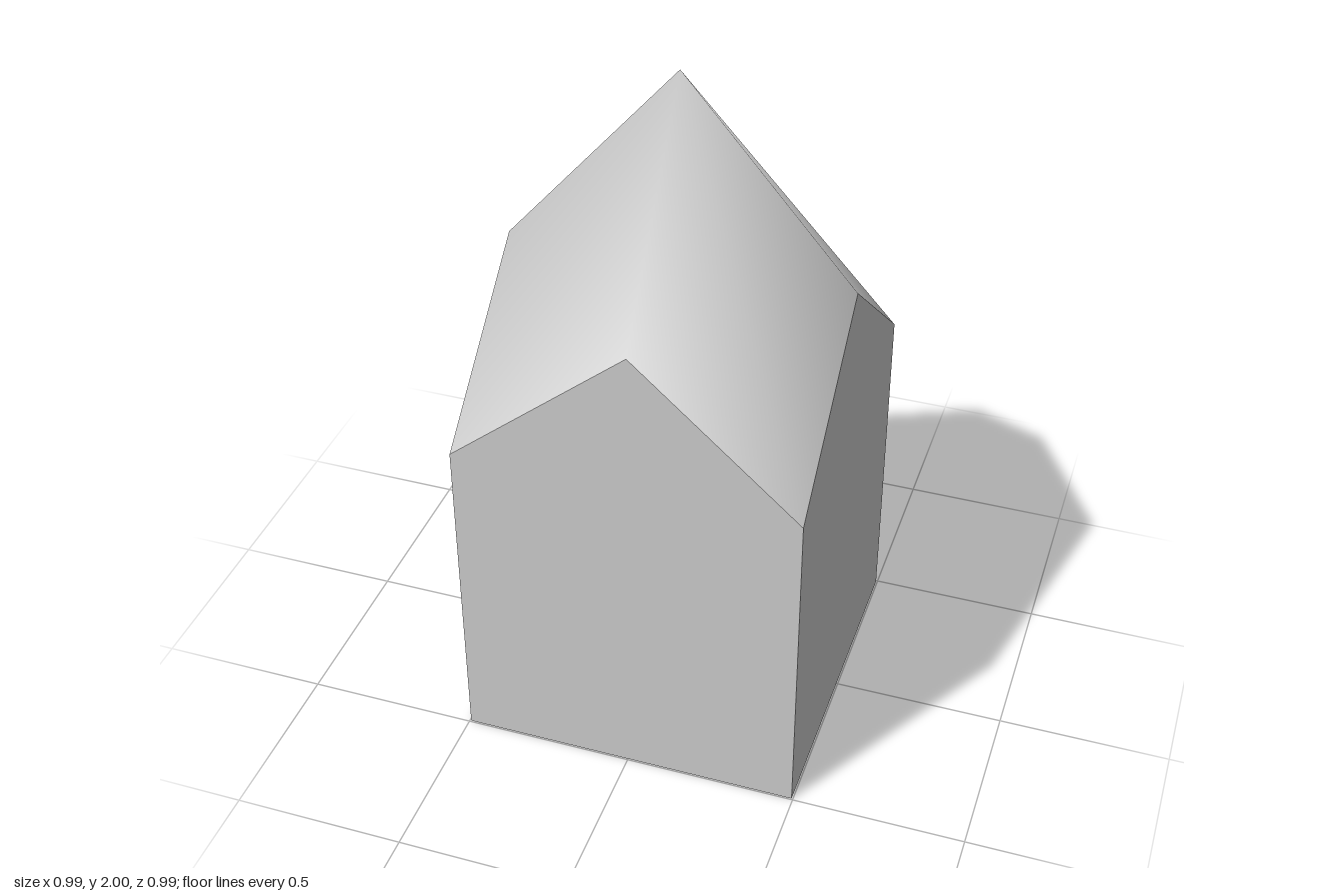
import * as THREE from 'three';

const HALF = 0.496;   // half width of the square column
const EAVE = 1.0;     // height of the corners
const GABLE = 1.427;  // height of the gable points
const APEX = [0, 2, 0.012];

// Roof outline, anticlockwise from above: corner, gable point, corner, ...
const RIM = [
  [HALF, EAVE, HALF], [HALF, GABLE, 0.018],
  [HALF, EAVE, -HALF], [-0.004, GABLE, -HALF],
  [-HALF, EAVE, -HALF], [-HALF, GABLE, 0.017],
  [-HALF, EAVE, HALF], [0.017, GABLE, HALF],
];

function makeGeometry(points, index) {
  const geometry = new THREE.BufferGeometry();
  geometry.setAttribute('position', new THREE.Float32BufferAttribute(points.flat(), 3));
  geometry.setIndex(index);
  return geometry;
}

export function createModel() {
  const group = new THREE.Group();
  group.name = 'pointedColumn';
  const material = new THREE.MeshStandardMaterial({ color: 0xcccccc, side: THREE.DoubleSide });

  const add = (name, geometry) => {
    geometry.computeVertexNormals();
    const mesh = new THREE.Mesh(geometry, material);
    mesh.name = name;
    group.add(mesh);
  };

  // Four flat gabled walls, each a five-cornered fan
  const names = ['leftWall', 'backWall', 'rightWall', 'frontWall'];
  names.forEach((name, i) => {
    const a = RIM[2 * i];
    const peak = RIM[2 * i + 1];
    const b = RIM[(2 * i + 2) % 8];
    const points = [[a[0], 0, a[2]], [b[0], 0, b[2]], b, peak, a];
    add(name, makeGeometry(points, [0, 1, 2, 0, 2, 3, 0, 3, 4]));
  });

  // Floor, facing down
  const corners = RIM.filter((p, i) => i % 2 === 0).map(([x, , z]) => [x, 0, z]);
  add('floor', makeGeometry(corners, [0, 2, 1, 0, 3, 2]));

  // Eight-sided pointed roof, smooth shaded through shared vertices
  const fan = RIM.flatMap((p, i) => [8, i, (i + 1) % 8]);
  add('roof', makeGeometry([...RIM, APEX], fan));

  return group;
}
